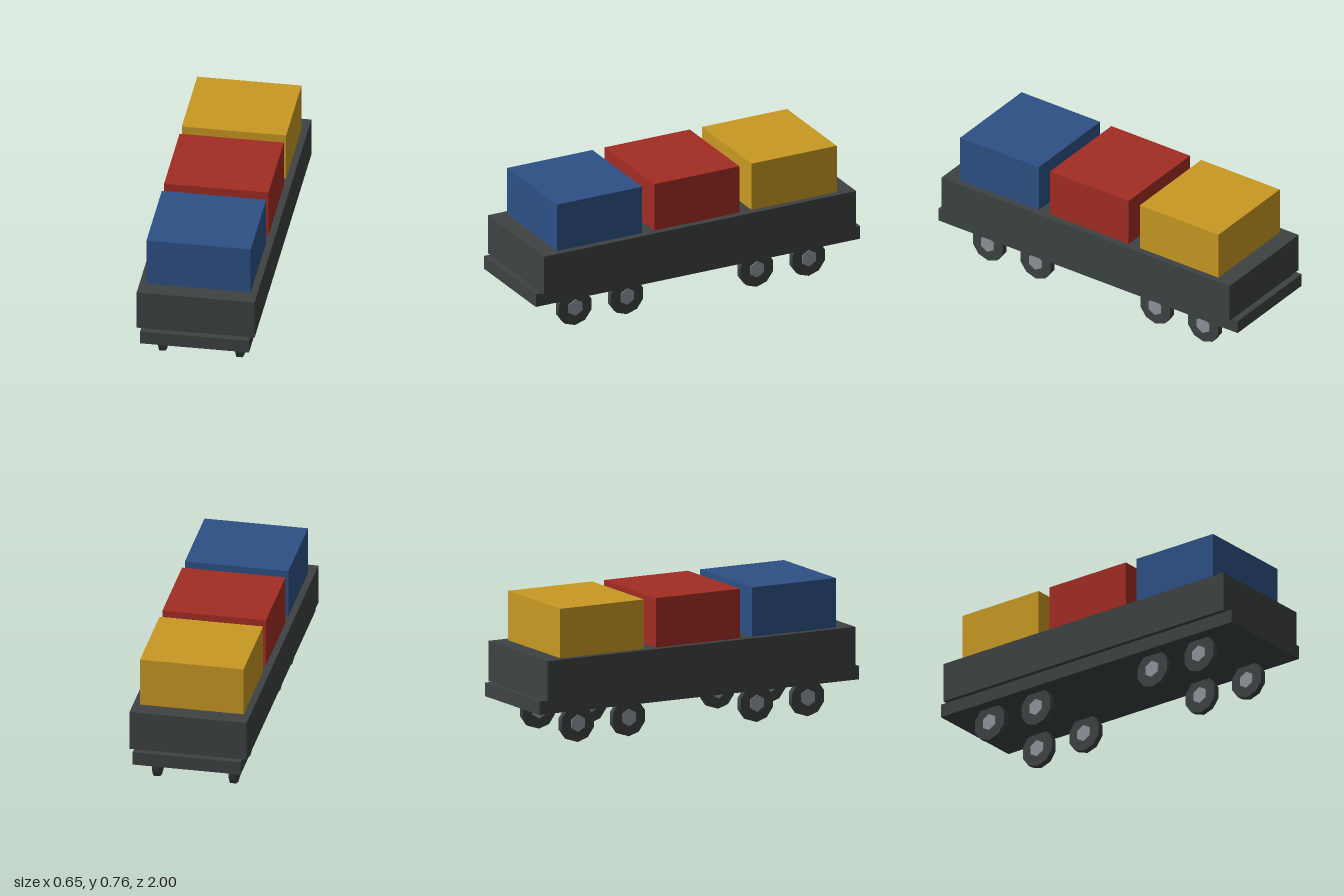
import * as THREE from 'three';

const mat = (name, color) => {
  const m = new THREE.MeshStandardMaterial({ color });
  m.name = name;
  return m;
};

export function createModel() {
  const model = new THREE.Group();
  model.name = 'containerWagon';
  const darkGrey = mat('dark grey', 0x3d4242);
  const steel = mat('steel', 0x8f959c);
  const blue = mat('blue', 0x2d5085);
  const red = mat('red', 0xa22c23);
  const yellow = mat('yellow', 0xc89822);

  const add = (name, geometry, material, x, y, z) => {
    const mesh = new THREE.Mesh(geometry, material);
    mesh.name = name;
    mesh.position.set(x, y, z);
    model.add(mesh);
  };
  const box = (name, w, y0, y1, d, material, z = 0) =>
    add(name, new THREE.BoxGeometry(w, y1 - y0, d), material, 0, (y0 + y1) / 2, z);

  // Underframe and wagon body
  box('underframe', 0.6, 0.19, 0.265, 2, darkGrey);
  box('body', 0.65, 0.265, 0.489, 1.925, darkGrey);

  // Three containers, front to back
  box('frontContainer', 0.575, 0.489, 0.763, 0.525, blue, 0.6);
  box('middleContainer', 0.575, 0.489, 0.763, 0.525, red, 0);
  box('rearContainer', 0.575, 0.489, 0.763, 0.525, yellow, -0.6);

  // Wheels on a sideways axis, with a corner pointing down
  const disc = (r, width, sides) =>
    new THREE.CylinderGeometry(r, r, width, sides).rotateX(Math.PI / 2).rotateY(Math.PI / 2);
  const wheel = disc(0.105, 0.035, 10);
  const hub = disc(0.048, 0.045, 6);
  for (const x of [-0.2125, 0.2125]) {
    for (const z of [0.72, 0.4, -0.4, -0.72]) {
      add('wheel', wheel, darkGrey, x, 0.105, z);
      add('wheelHub', hub, steel, x, 0.105, z);
    }
  }
  return model;
}
